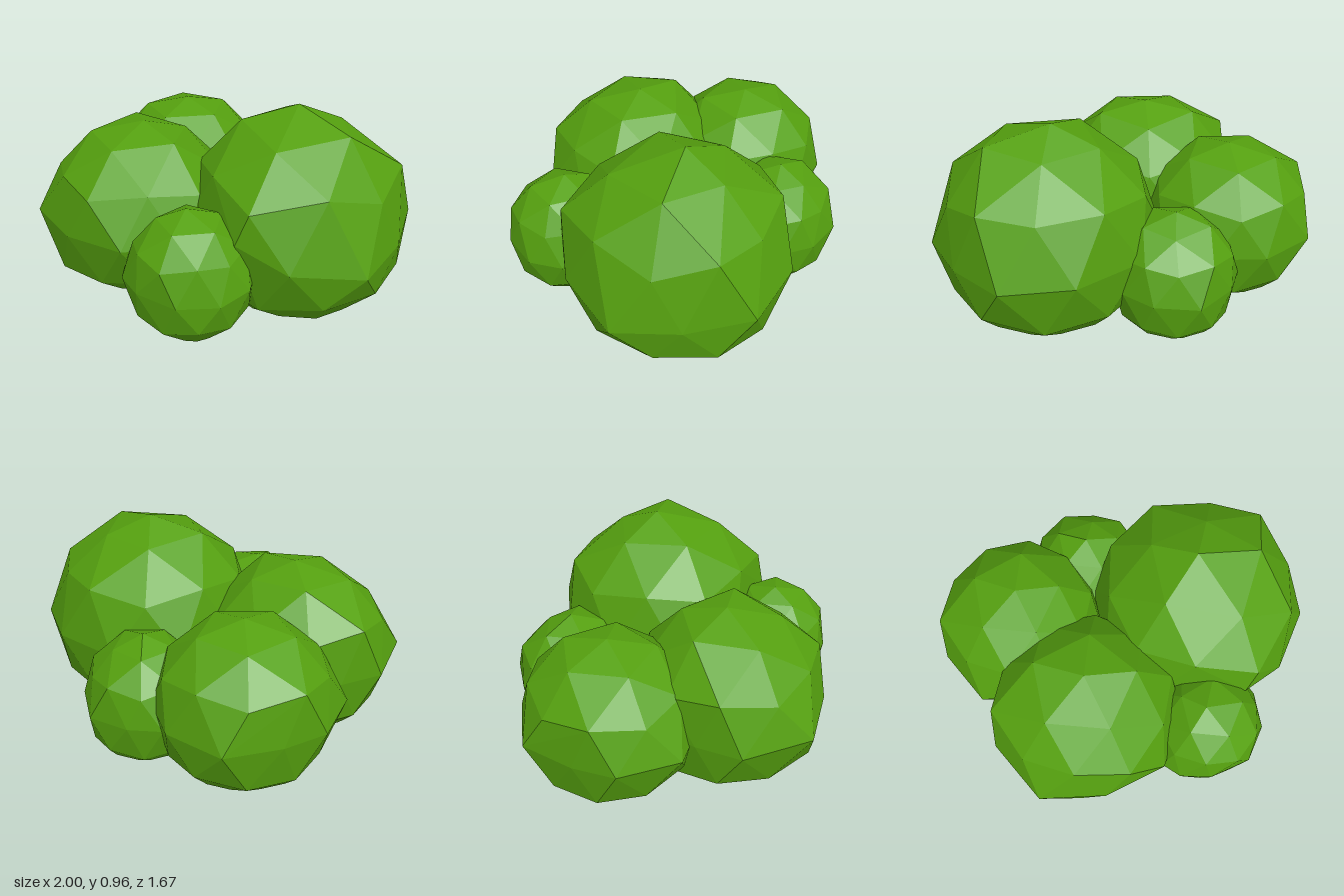
import * as THREE from 'three';
import { ConvexGeometry } from 'three/addons/geometries/ConvexGeometry.js';

// Faceted ball with one corner pointing up, a few corners nudged to make it
// irregular, sliced flat where it meets the ground
function clumpGeometry(center, radii, nudged) {
  const ball = new THREE.IcosahedronGeometry(1, 1);
  ball.rotateZ(-Math.atan(2 / (1 + Math.sqrt(5))));
  ball.rotateY(THREE.MathUtils.degToRad(4));
  ball.scale(...radii);
  ball.translate(...center);

  // Each corner close to a nudged position snaps onto it
  const targets = nudged.map((p) => new THREE.Vector3(...p));
  const pos = ball.attributes.position;
  const corner = (i) => {
    const p = new THREE.Vector3().fromBufferAttribute(pos, i);
    const target = targets.find((t) => t.distanceTo(p) < radii[0] * 0.26);
    return target ? target.clone() : p;
  };

  const kept = new Map();
  const keep = (p) => kept.set(p.toArray().map((n) => n.toFixed(4)).join(), p);
  for (let i = 0; i < pos.count; i += 3) {
    for (let k = 0; k < 3; k++) {
      const a = corner(i + k);
      const b = corner(i + (k + 1) % 3);
      if (a.y >= 0) keep(a);
      // Edge crossing the ground adds a corner to the flat base
      if (a.y * b.y < 0) {
        const cut = a.clone().lerp(b, a.y / (a.y - b.y));
        cut.y = 0;
        keep(cut);
      }
    }
  }
  return new ConvexGeometry([...kept.values()]);
}

// Centre, radii and nudged corners of each clump
const CLUMPS = {
  largeClump: {
    center: [0.42, 0.38, -0.16],
    radii: [0.585, 0.58, 0.58],
    nudged: [
      [0.38, 0.96, -0.17], [0.71, 0.88, -0.18], [0.55, 0.84, 0.15], [0.17, 0.86, -0.3],
      [0.47, 0.86, -0.39], [0.91, 0.6, -0.2], [0.62, 0.62, 0.38], [0.55, 0.66, -0.6],
      [1.0, 0.3, -0.02], [0.8, 0.35, 0.29], [0.57, 0.46, 0.42], [0.92, 0.33, -0.35],
      [0.75, 0.36, -0.65], [0.4, 0.38, -0.73], [0.92, 0.11, -0.2],
    ],
  },
  frontClump: {
    center: [-0.27, 0.32, 0.34],
    radii: [0.515, 0.49, 0.495],
    nudged: [
      [-0.26, 0.81, 0.32], [0, 0.76, 0.32], [-0.5, 0.76, 0.2], [-0.75, 0.6, 0.37],
      [-0.1, 0.55, 0.78], [-0.58, 0.33, 0.8], [-0.78, 0.33, 0.49], [-0.74, 0.33, 0.26],
      [0.09, 0.33, 0.73], [-0.38, 0.06, 0.79],
    ],
  },
  sideClump: {
    center: [-0.56, 0.31, -0.2],
    radii: [0.445, 0.45, 0.455],
    nudged: [
      [-0.55, 0.75, -0.2], [-0.98, 0.56, -0.17], [-0.88, 0.31, -0.54], [-0.97, 0.31, -0.27],
      [-1.0, 0.32, -0.05], [-0.83, 0.31, 0.22], [-0.94, 0.07, -0.17],
    ],
  },
  smallBackClump: {
    center: [-0.15, 0.22, -0.52],
    radii: [0.325, 0.36, 0.32],
    nudged: [
      [-0.1, 0.51, -0.66], [-0.08, 0.38, -0.77], [-0.37, 0.23, -0.74],
      [0.04, 0.23, -0.77], [0.15, 0.23, -0.63],
    ],
  },
  smallFrontClump: {
    center: [0.36, 0.25, 0.51],
    radii: [0.315, 0.34, 0.315],
    nudged: [
      [0.33, 0.59, 0.51], [0.62, 0.4, 0.49], [0.66, 0.24, 0.58], [0.55, 0.25, 0.75],
      [0.33, 0.25, 0.81], [0.17, 0.25, 0.78], [0.08, 0.25, 0.7],
    ],
  },
};

export function createModel() {
  const bush = new THREE.Group();
  bush.name = 'bush';
  const leafGreen = new THREE.MeshStandardMaterial({ color: 0x55a00f, flatShading: true });
  leafGreen.name = 'leafGreen';

  for (const [name, { center, radii, nudged }] of Object.entries(CLUMPS)) {
    const mesh = new THREE.Mesh(clumpGeometry(center, radii, nudged), leafGreen);
    mesh.name = name;
    bush.add(mesh);
  }
  return bush;
}
